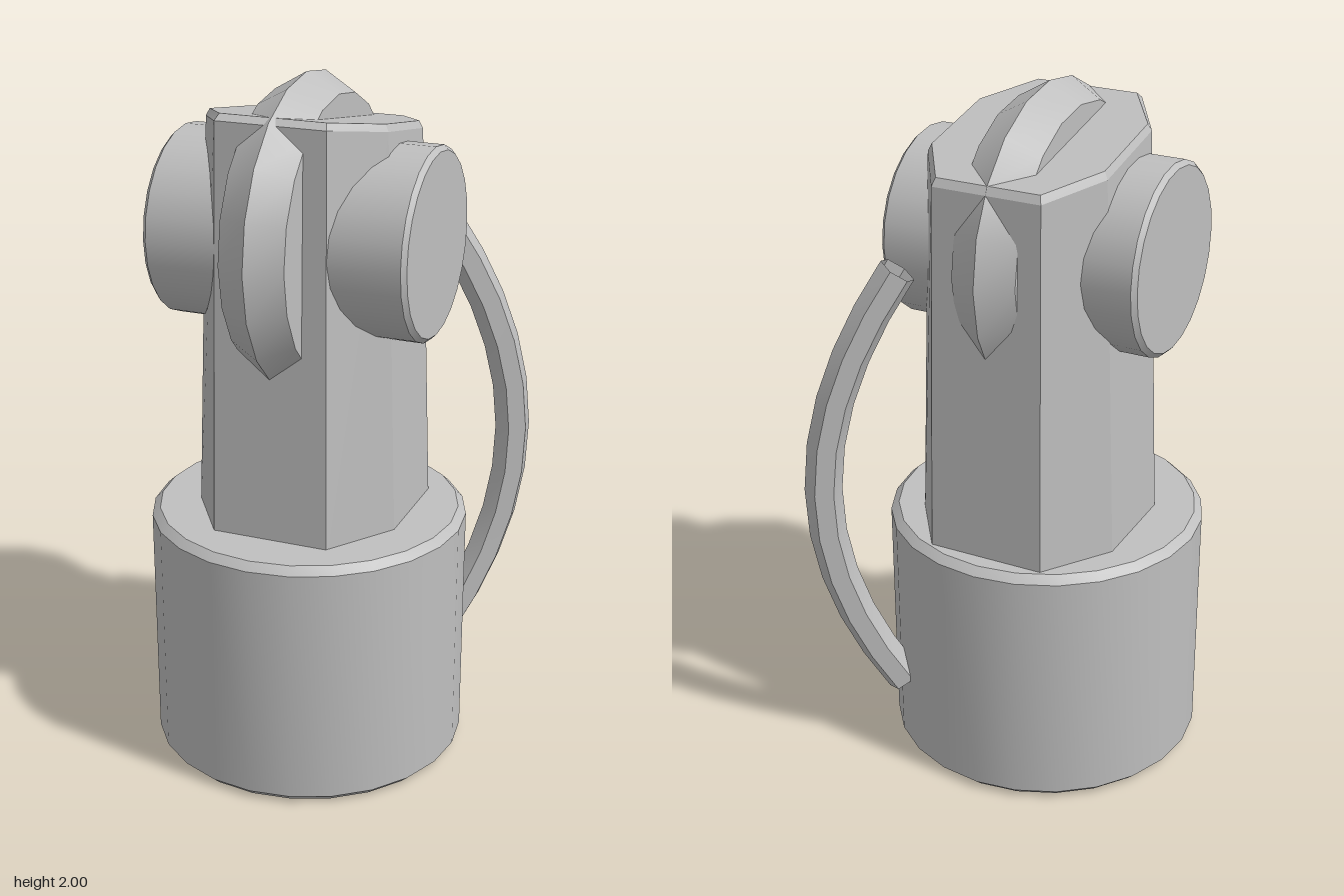
import * as THREE from 'three';
import { toCreasedNormals } from 'three/addons/utils/BufferGeometryUtils.js';

const CX = -0.037, CZ = 0.03, HUB_Y = 1.56;

// turned solid from [radius, height] pairs, listed bottom to top
function turned(profile, sides) {
  const points = profile.map(([r, y]) => new THREE.Vector2(r, y));
  return toCreasedNormals(new THREE.LatheGeometry(points, sides), 0.5);
}

// octagonal loop: half extents, flat-edge half lengths, and front/back z
function octagon(hx, ex, zf, zb, ezf, ezb, height) {
  return [[ex, zf], [hx, ezf], [hx, ezb], [ex, zb], [-ex, zb], [-hx, ezb], [-hx, ezf], [-ex, zf]]
    .map(([x, z]) => new THREE.Vector3(CX + x, height(z), z));
}

// joins loops with quads and closes the top with a fan
function loft(loops) {
  const pos = [];
  const tri = (...corners) => corners.forEach((p) => pos.push(p.x, p.y, p.z));
  const n = loops[0].length;
  for (let k = 0; k < loops.length - 1; k++) {
    for (let i = 0; i < n; i++) {
      const j = (i + 1) % n, lo = loops[k], hi = loops[k + 1];
      tri(lo[i], lo[j], hi[j]);
      tri(lo[i], hi[j], hi[i]);
    }
  }
  const top = loops[loops.length - 1];
  const mid = top.reduce((s, p) => s.add(p), new THREE.Vector3()).divideScalar(n);
  for (let i = 0; i < n; i++) tri(mid, top[i], top[(i + 1) % n]);
  const g = new THREE.BufferGeometry();
  g.setAttribute('position', new THREE.Float32BufferAttribute(pos, 3));
  return toCreasedNormals(g, 0.3);
}

export function createModel() {
  const model = new THREE.Group();
  const grey = new THREE.MeshStandardMaterial({ color: 0xbfbfbf });
  grey.name = 'grey';
  const greyOpen = new THREE.MeshStandardMaterial({ color: 0xbfbfbf, side: THREE.DoubleSide });
  greyOpen.name = 'grey open';

  const add = (name, geometry, material = grey) => {
    const mesh = new THREE.Mesh(geometry, material);
    mesh.name = name;
    model.add(mesh);
    return mesh;
  };

  // round base with chamfered rims
  add('base', turned([[0, 0], [0.435, 0], [0.458, 0.022], [0.458, 0.723], [0.435, 0.745], [0, 0.745]], 24))
    .position.set(CX, 0, 0.027);

  // tapered octagonal column with a top sloping down to the back
  const slope = (z) => 1.925 - 0.18 * (0.27 - z);
  add('column', loft([
    octagon(0.302, 0.17, 0.323, -0.362, 0.13, -0.17, () => 0.7),
    octagon(0.262, 0.157, 0.288, -0.334, 0.115, -0.165, (z) => slope(z) - 0.02),
    octagon(0.252, 0.15, 0.268, -0.322, 0.11, -0.16, slope),
  ]));

  // side drums on one cross axle
  const drum = add('sideDrums', turned(
    [[0, -0.378], [0.255, -0.378], [0.268, -0.365], [0.268, 0.365], [0.255, 0.378], [0, 0.378]], 24));
  drum.position.set(CX, HUB_Y, CZ);
  drum.rotation.z = Math.PI / 2;

  // ridged wheel showing through the front, top and back
  const wheel = add('ridgedWheel', turned(
    [[0, -0.093], [0.387, -0.093], [0.441, 0], [0.387, 0.093], [0, 0.093]], 20));
  wheel.position.set(CX, HUB_Y, CZ + 0.004);
  wheel.rotation.z = Math.PI / 2;

  // bowed cable at the back left
  const path = new THREE.CubicBezierCurve3(
    new THREE.Vector3(0.25, 1.53, -0.3), new THREE.Vector3(0.5, 1.08, -0.472),
    new THREE.Vector3(0.5, 0.65, -0.472), new THREE.Vector3(0.27, 0.225, -0.31));
  add('cable', toCreasedNormals(new THREE.TubeGeometry(path, 10, 0.053, 6), 0.5), greyOpen);

  return model;
}
